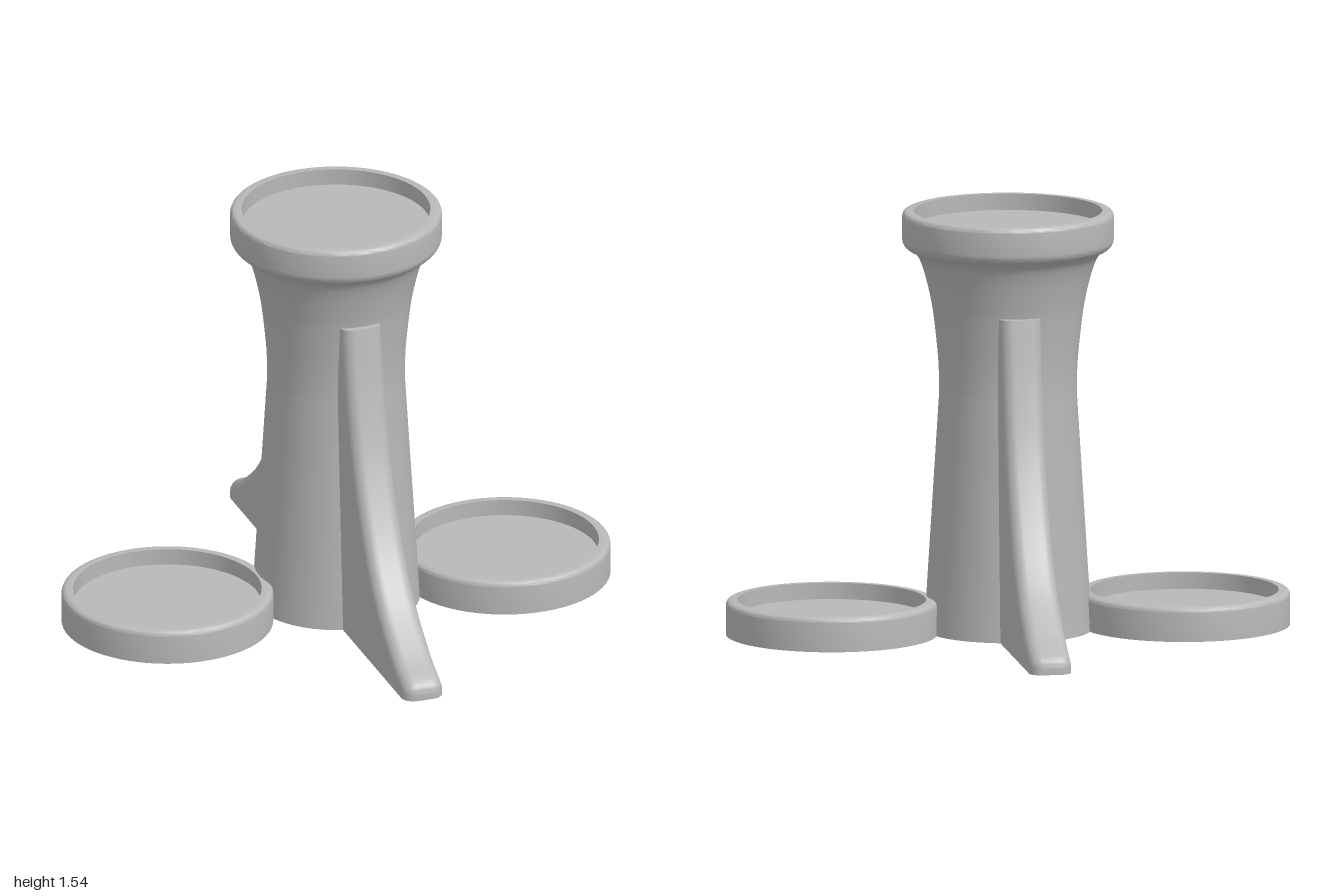
import * as THREE from 'three';
import { toCreasedNormals } from 'three/addons/utils/BufferGeometryUtils.js';

const grey = new THREE.MeshStandardMaterial({ color: 0xb8b8b8 });
grey.name = 'plain grey';

const CREASE = 0.55;
const WALL = 0.05;
const WAIST = 0.88;

// Outer radius of the column: straight taper below the waist, flare above it
const flare = new THREE.SplineCurve([
  [0.25, WAIST], [0.254, 1.0], [0.271, 1.16], [0.285, 1.24], [0.305, 1.32], [0.326, 1.375], [0.35, 1.402],
].map(p => new THREE.Vector2(...p))).getPoints(24);

function columnRadius(y) {
  if (y <= WAIST) return THREE.MathUtils.lerp(0.305, 0.25, y / WAIST);
  for (let i = 1; i < flare.length; i++) {
    const a = flare[i - 1], b = flare[i];
    if (y <= b.y) return THREE.MathUtils.lerp(a.x, b.x, (y - a.y) / (b.y - a.y));
  }
  return 0.35;
}

// Points of a circular arc in a lathe profile
function arc(cx, cy, r, from, to, n = 6) {
  return Array.from({ length: n + 1 }, (_, i) => {
    const a = from + (to - from) * i / n;
    return new THREE.Vector2(cx + r * Math.cos(a), cy + r * Math.sin(a));
  });
}

function lathe(name, points) {
  const geo = new THREE.LatheGeometry(points, 96);
  const mesh = new THREE.Mesh(toCreasedNormals(geo, CREASE), grey);
  mesh.name = name;
  return mesh;
}

// Rounded rim, then the recessed floor of a dish
function dishTop(top, depth) {
  return [
    ...arc(0.365, top - 0.02, 0.02, 0, Math.PI / 2),
    new THREE.Vector2(0.343, top),
    new THREE.Vector2(0.343, top - depth),
    new THREE.Vector2(0, top - depth),
  ];
}

// Hollow column, flared into a dish at the top
function makeColumn() {
  const inside = [new THREE.Vector2(0, 1.36)];
  for (let i = 0; i <= 20; i++) {
    const y = 1.36 * (1 - i / 20);
    inside.push(new THREE.Vector2(columnRadius(y) - WALL, y));
  }
  return lathe('column', [
    ...inside,
    new THREE.Vector2(0.305, 0),
    ...flare,
    ...arc(0.345, 1.442, 0.04, -Math.PI / 3, 0),
    ...dishTop(1.545, 0.06),
  ]);
}

// Low round tray beside the column
function makeTray() {
  const tray = lathe('tray', [
    new THREE.Vector2(0, 0),
    new THREE.Vector2(0.385, 0),
    ...dishTop(0.127, 0.06),
  ]);
  tray.position.x = 0.65;
  return tray;
}

// Sweeping fin: rounded sections follow the ridge from column to toe
function makeFin() {
  const half = 0.077, round = 0.045, arcSteps = 6;
  const sweep = new THREE.SplineCurve([
    [0.302, 1.19], [0.35, 0.947], [0.425, 0.69], [0.54, 0.44], [0.67, 0.263], [0.83, 0.132], [0.935, 0.075],
  ].map(p => new THREE.Vector2(...p))).getPoints(48);
  const toe = new THREE.CubicBezierCurve(
    new THREE.Vector2(0.935, 0.075), new THREE.Vector2(0.96, 0.062),
    new THREE.Vector2(0.976, 0.05), new THREE.Vector2(0.976, 0.02)).getPoints(8);
  const ridge = [...sweep, ...toe.slice(1), new THREE.Vector2(0.976, 0)];

  const pos = [], index = [];
  const cols = 2 * (arcSteps + 1) + 2;
  ridge.forEach((p, i) => {
    const before = ridge[Math.max(i - 1, 0)], after = ridge[Math.min(i + 1, ridge.length - 1)];
    const n = new THREE.Vector2(before.y - after.y, after.x - before.x).normalize();
    if (i === 0 || i === ridge.length - 1) n.set(1, 0);
    const root = columnRadius(p.y) - 0.03;
    const put = (x, inset) => pos.push(x, Math.max(0, p.y - n.y * inset), Math.max(root, p.x - n.x * inset));
    pos.push(-half, p.y, root);
    for (const side of [-1, 1]) {
      for (let k = 0; k <= arcSteps; k++) {
        const a = Math.PI / 2 * (side < 0 ? k : arcSteps - k) / arcSteps;
        put(side * (half - round + round * Math.cos(a)), round * (1 - Math.sin(a)));
      }
    }
    pos.push(half, p.y, root);
  });
  for (let i = 0; i < ridge.length - 1; i++) {
    for (let j = 0; j < cols - 1; j++) {
      const a = i * cols + j, b = a + cols;
      index.push(a, b, a + 1, a + 1, b, b + 1);
    }
  }
  // Flat top and underside
  const last = (ridge.length - 1) * cols;
  for (let j = 1; j < cols - 1; j++) {
    index.push(0, j, j + 1);
    index.push(last, last + j + 1, last + j);
  }
  const geo = new THREE.BufferGeometry();
  geo.setAttribute('position', new THREE.Float32BufferAttribute(pos, 3));
  geo.setIndex(index);
  const mesh = new THREE.Mesh(toCreasedNormals(geo, CREASE), grey);
  mesh.name = 'fin';
  return mesh;
}

export function createModel() {
  const model = new THREE.Group();
  model.name = 'column with fins and trays';
  model.add(makeColumn());

  // One fin and one tray on each side, turned half round from each other
  ['front', 'back'].forEach((name, i) => {
    const half = new THREE.Group();
    half.name = name + 'FinAndTray';
    half.add(makeFin(), makeTray());
    half.rotation.y = THREE.MathUtils.degToRad(-20 + 180 * i);
    model.add(half);
  });
  return model;
}
